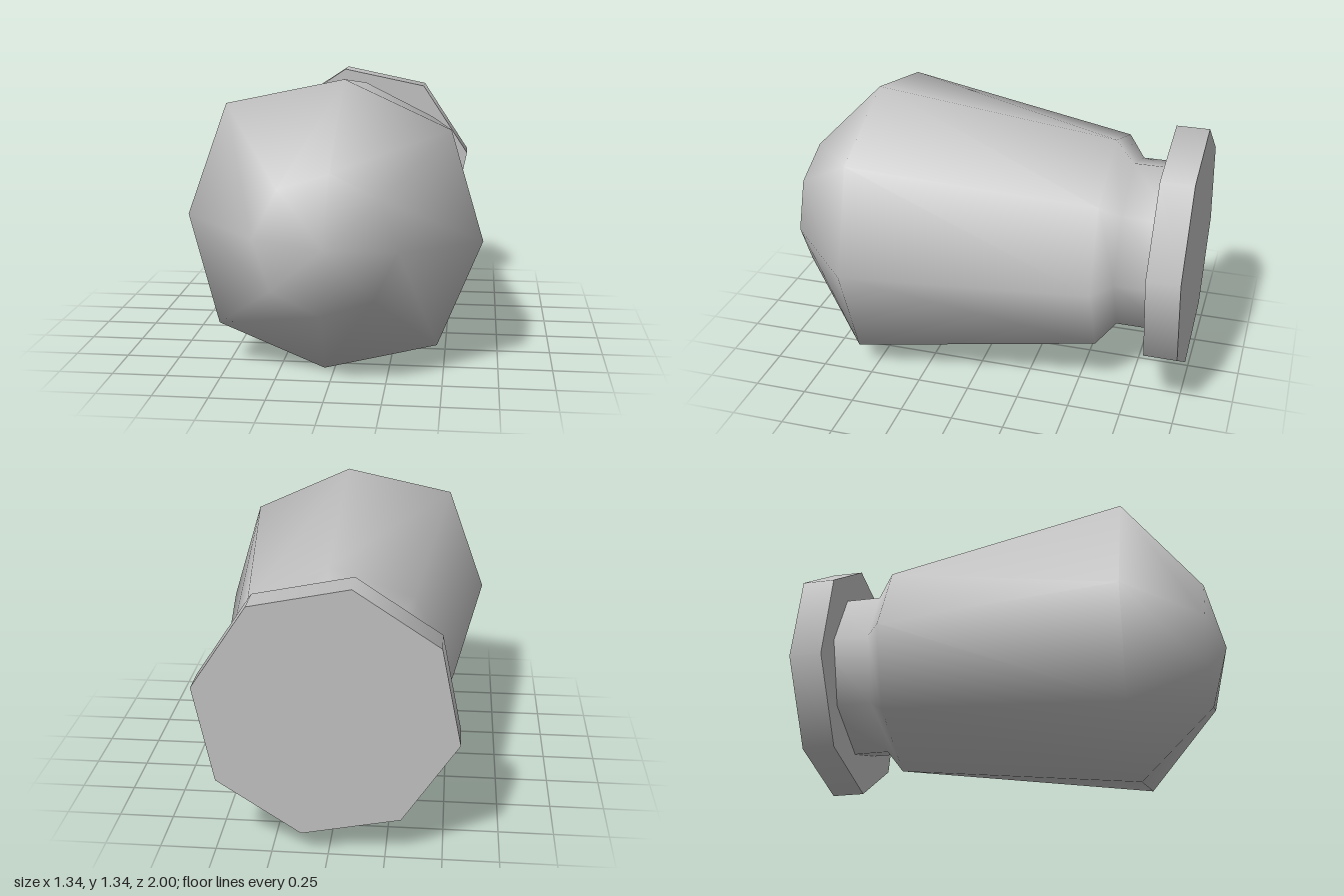
import * as THREE from 'three';

const SIDES = 8, CENTRE_Y = 0.672, START = THREE.MathUtils.degToRad(-4);

export function createModel() {
  const grey = new THREE.MeshStandardMaterial({ color: 0xc0c0c0 });
  grey.name = 'plain grey';
  const group = new THREE.Group();
  group.name = 'bulb';

  // Body: tip followed by eight-sided rings [z, radius], running backwards
  const rings = [[0.92, 0.315], [0.57, 0.67], [-0.59, 0.527], [-0.675, 0.416], [-0.93, 0.416]];
  // The widest ring bulges unevenly at its diagonal corners
  const bulge = [1, 1.027, 1, 1.1, 1, 1.06, 1, 1.068];
  const positions = [0, CENTRE_Y, 1];
  rings.forEach(([z, r], i) => {
    for (let j = 0; j < SIDES; j++) {
      const a = START + (j / SIDES) * Math.PI * 2;
      const radius = i === 1 ? r * bulge[[0, 1, 2, 3, 4, 5, 6, 7][j]] : r;
      positions.push(radius * Math.cos(a), CENTRE_Y + radius * Math.sin(a), z);
    }
  });
  // Corner order: right, upper right, top, upper left, left, lower left, bottom, lower right
  const index = [];
  const at = (i, j) => 1 + i * SIDES + (j % SIDES);
  for (let j = 0; j < SIDES; j++) {
    index.push(0, at(0, j), at(0, j + 1));
    for (let i = 0; i < rings.length - 1; i++) {
      const a = at(i, j), b = at(i, j + 1), c = at(i + 1, j), d = at(i + 1, j + 1);
      index.push(a, c, b, b, c, d);
    }
  }
  const bodyGeometry = new THREE.BufferGeometry();
  bodyGeometry.setAttribute('position', new THREE.Float32BufferAttribute(positions, 3));
  bodyGeometry.setIndex(index);
  bodyGeometry.computeVertexNormals();
  const body = new THREE.Mesh(bodyGeometry, grey);
  body.name = 'body';
  group.add(body);

  // Rear flange: eight-sided plate, turned slightly against the body
  const flangeGeometry = new THREE.CylinderGeometry(0.582, 0.582, 0.155, SIDES);
  flangeGeometry.rotateX(Math.PI / 2);
  flangeGeometry.rotateZ(THREE.MathUtils.degToRad(11));
  const flange = new THREE.Mesh(flangeGeometry, grey);
  flange.name = 'rearFlange';
  flange.position.set(0.008, CENTRE_Y, -0.9205);
  group.add(flange);

  return group;
}
